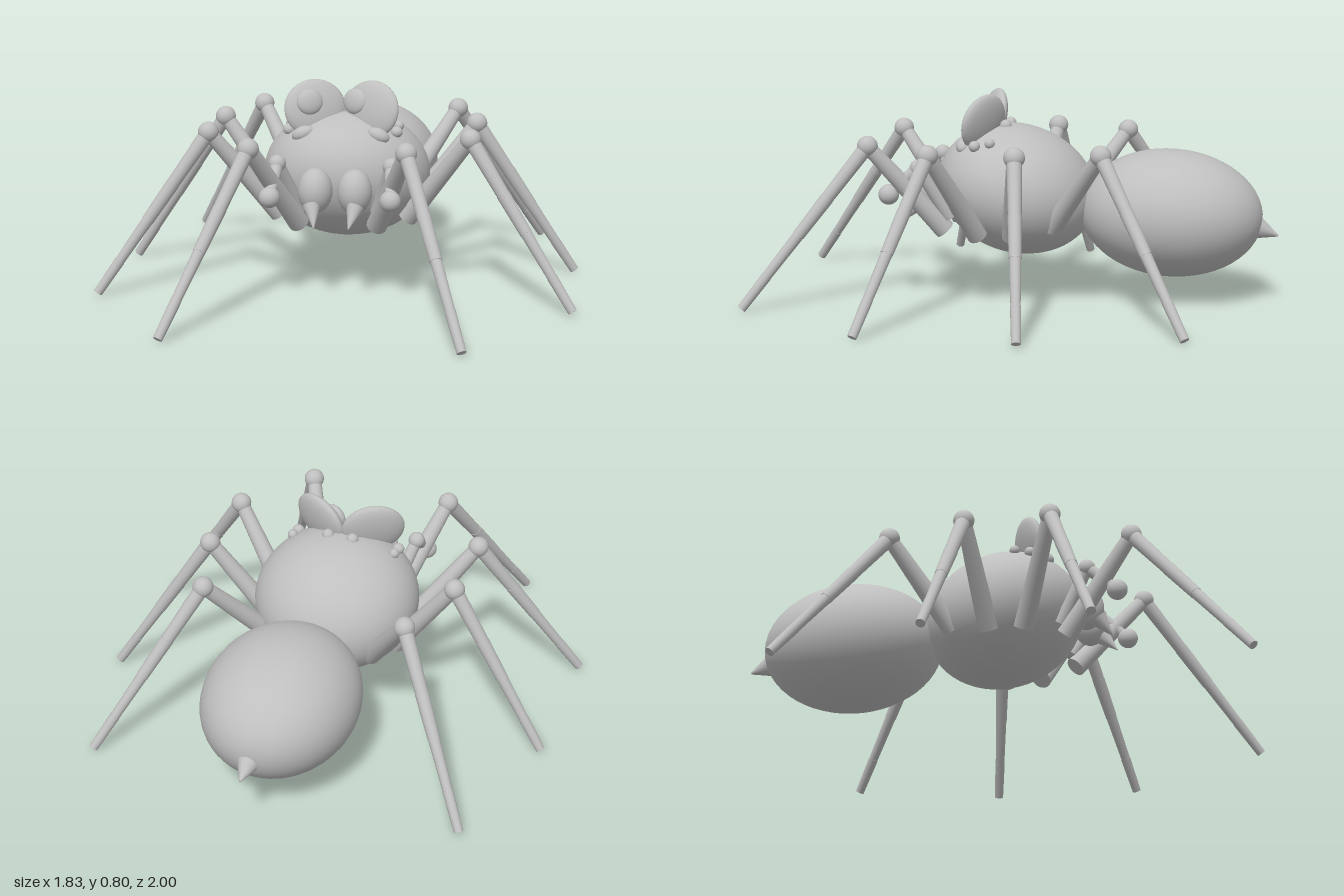
import * as THREE from 'three';

const V = (x, y, z) => new THREE.Vector3(x, y, z);

export function createModel() {
  const grey = new THREE.MeshStandardMaterial({ color: 0xbfbfbf });
  grey.name = 'plain grey';
  const model = new THREE.Group();
  model.name = 'spider';

  // Ellipsoid with its poles along z
  function ellipsoid(parent, name, pos, radii, segs = 24, rot = [0, 0, 0]) {
    const geo = new THREE.SphereGeometry(1, segs, Math.round(segs * 0.7));
    geo.rotateX(Math.PI / 2).scale(...radii);
    const mesh = new THREE.Mesh(geo, grey);
    mesh.name = name;
    mesh.position.set(...pos);
    mesh.rotation.set(...rot, 'YXZ');
    parent.add(mesh);
    return mesh;
  }

  // Tapered rod between two points
  function rod(parent, name, a, b, ra, rb) {
    const mesh = new THREE.Mesh(new THREE.CylinderGeometry(rb, ra, a.distanceTo(b), 16), grey);
    mesh.name = name;
    mesh.position.lerpVectors(a, b, 0.5);
    mesh.quaternion.setFromUnitVectors(V(0, 1, 0), b.clone().sub(a).normalize());
    parent.add(mesh);
  }

  // Body and spinneret
  ellipsoid(model, 'thorax', [0, 0.42, 0.02], [0.325, 0.25, 0.315], 40, [-0.3, 0, 0]);
  ellipsoid(model, 'abdomen', [0, 0.34, -0.585], [0.295, 0.247, 0.355], 40, [-0.06, 0, 0]);
  rod(model, 'spinneret', V(0, 0.295, -0.905), V(0, 0.262, -1), 0.052, 0.004);

  // Legs: hip, knee and foot for the left side
  const legs = [
    [[0.15, 0.27, 0.28], [0.29, 0.61, 0.55], [0.535, 0.01, 0.985]],
    [[0.25, 0.27, 0.13], [0.5, 0.61, 0.265], [0.9, 0.01, 0.45]],
    [[0.25, 0.27, -0.005], [0.5, 0.61, -0.06], [0.89, 0.01, -0.14]],
    [[0.2, 0.3, -0.15], [0.4, 0.61, -0.365], [0.735, 0.01, -0.715]],
  ];

  for (const s of [1, -1]) {
    const side = s > 0 ? 'left' : 'right';
    const P = ([x, y, z]) => V(s * x, y, z);

    legs.forEach((points, i) => {
      const leg = new THREE.Group();
      leg.name = `${side}Leg${i + 1}`;
      const [hip, knee, foot] = points.map(P);
      rod(leg, 'femur', hip, knee, 0.04, 0.028);
      ellipsoid(leg, 'knee', knee.toArray(), [0.04, 0.04, 0.04], 20);
      // Shin in stepped segments
      const cuts = [0, 0.32, 0.55, 0.8, 1];
      for (let k = 0; k < 4; k++) {
        const a = knee.clone().lerp(foot, cuts[k]);
        const b = knee.clone().lerp(foot, cuts[k + 1]);
        const r = (t) => 0.029 - 0.013 * t + (k % 2 ? 0.0015 : 0);
        rod(leg, 'shinSegment', a, b, r(cuts[k]), r(cuts[k + 1]));
      }
      model.add(leg);
    });

    // Jaws and fangs
    ellipsoid(model, `${side}Jaw`, [s * 0.075, 0.415, 0.35], [0.066, 0.087, 0.07]);
    rod(model, `${side}Fang`, V(s * 0.082, 0.365, 0.395), V(s * 0.065, 0.295, 0.455), 0.034, 0.002);

    // Feelers beside the jaws
    const feeler = new THREE.Group();
    feeler.name = `${side}Feeler`;
    const [root, joint, tip] = [[0.15, 0.32, 0.26], [0.215, 0.52, 0.37], [0.225, 0.415, 0.485]].map(P);
    rod(feeler, 'upperFeeler', root, joint, 0.028, 0.024);
    ellipsoid(feeler, 'feelerJoint', joint.toArray(), [0.033, 0.033, 0.033], 18);
    rod(feeler, 'lowerFeeler', joint, tip, 0.025, 0.02);
    ellipsoid(feeler, 'feelerTip', tip.toArray(), [0.04, 0.04, 0.04], 18);
    model.add(feeler);

    // Large dished eyes with off-centre pupils
    const eye = ellipsoid(model, `${side}Eye`, [s * 0.108, 0.688, 0.135], [0.124, 0.113, 0.036], 32,
      [-0.22, -s * 0.48, 0]);
    ellipsoid(eye, 'pupil', [s > 0 ? -0.058 : -0.03, 0.025, 0.03], [0.052, 0.05, 0.022], 20);

    // Small eyes around the large ones
    ellipsoid(model, 'smallFrontEye', [s * 0.145, 0.603, 0.205], [0.045, 0.028, 0.03], 16, [0, 0, -s * 0.4]);
    ellipsoid(model, 'smallSideEye', [s * 0.208, 0.607, 0.15], [0.024, 0.022, 0.022], 16);
    ellipsoid(model, 'smallOuterEye', [s * 0.21, 0.62, 0.09], [0.02, 0.02, 0.02], 16);
    ellipsoid(model, 'smallTopEye', [s * 0.05, 0.67, 0.058], [0.024, 0.024, 0.024], 16);
  }
  return model;
}
